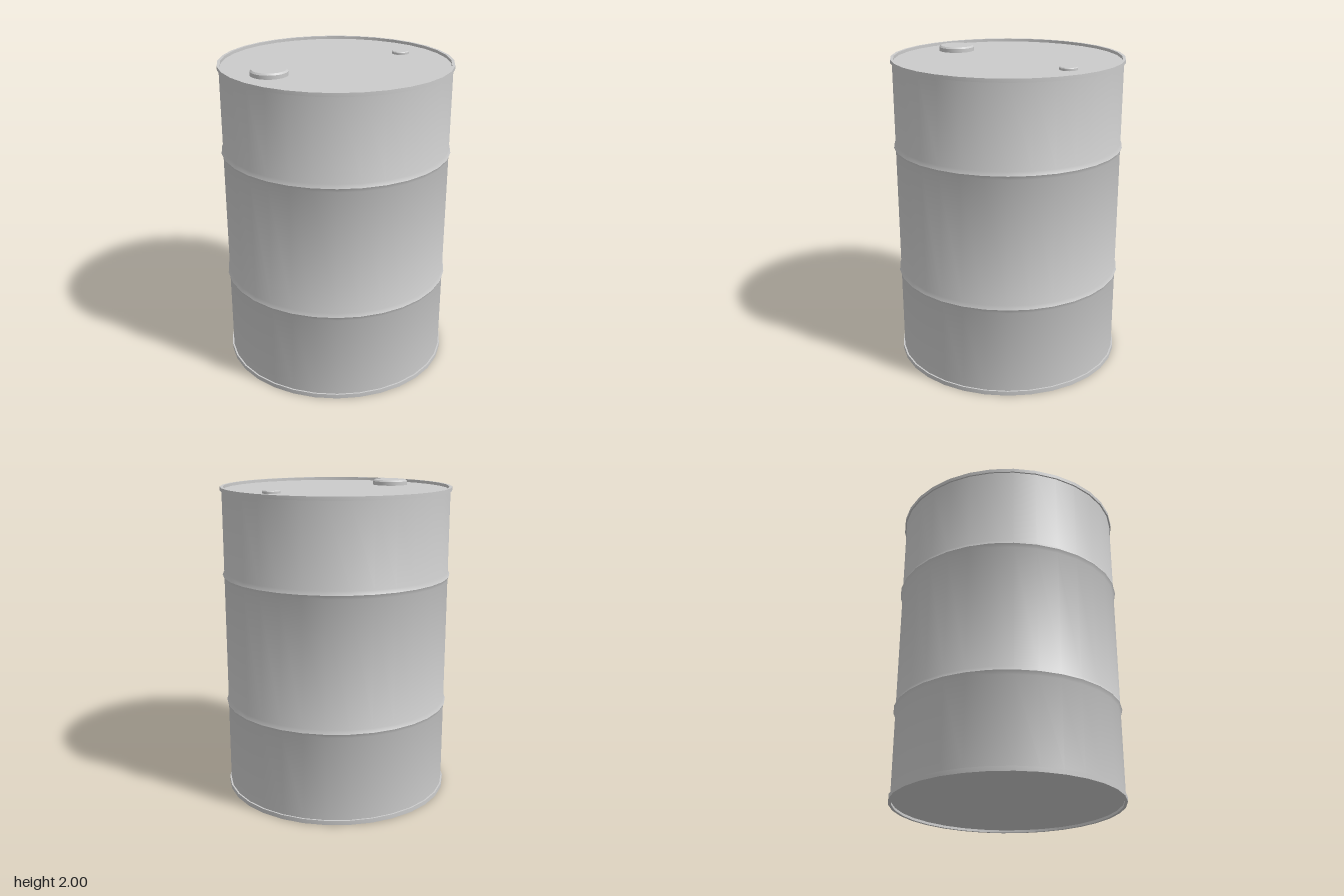
import * as THREE from 'three';
import { toCreasedNormals } from 'three/addons/utils/BufferGeometryUtils.js';

const material = new THREE.MeshStandardMaterial({ color: 0xcccccc });

// Turned part: profile of [radius, y] pairs from bottom to top, sharp edges kept
function turned(name, profile, sides) {
  const points = profile.map(([r, y]) => new THREE.Vector2(r, y));
  const geometry = toCreasedNormals(new THREE.LatheGeometry(points, sides), Math.PI / 6);
  const mesh = new THREE.Mesh(geometry, material);
  mesh.name = name;
  return mesh;
}

export function createModel() {
  const group = new THREE.Group();
  group.name = 'barrel';

  const R = 0.72, RIM = 0.73, INNER = 0.712;
  const LID = 1.966;

  // Pressed ridge around the wall
  const ridge = (y) => [[R, y - 0.025], [RIM + 0.001, y], [R, y + 0.025]];

  // Drum: recessed base, bottom rim, wall with two ridges, top rim, recessed lid
  group.add(turned('drum', [
    [0, 0.016], [INNER, 0.016], [INNER, 0], [RIM, 0], [RIM, 0.028], [R, 0.028],
    ...ridge(0.59),
    ...ridge(1.43),
    [R, 1.962], [RIM, 1.962], [RIM, 1.985], [INNER, 1.985], [INNER, LID], [0, LID],
  ], 32));

  // Screw caps on the lid, with a chamfered top edge
  const cap = (name, x, r, top, chamfer) => {
    const mesh = turned(name, [
      [r, LID - 0.002], [r, top - chamfer], [r - chamfer, top], [0, top],
    ], 32);
    mesh.position.set(x, 0, 0.004);
    group.add(mesh);
  };
  cap('largeCap', -0.477, 0.114, 2, 0.01);
  cap('smallCap', 0.503, 0.055, 1.984, 0.005);

  return group;
}
